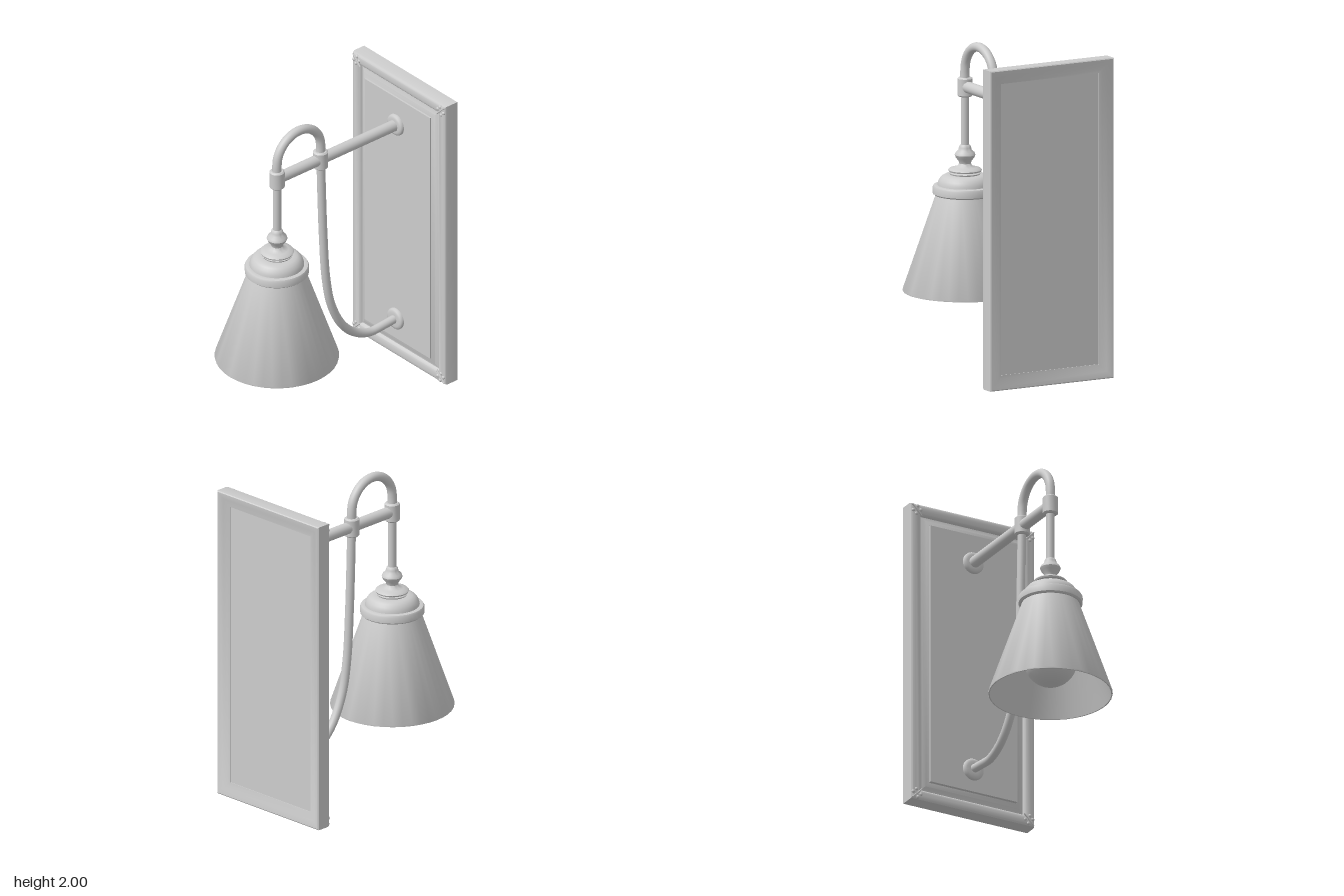
import * as THREE from 'three';
import { toCreasedNormals } from 'three/addons/utils/BufferGeometryUtils.js';

const metal = new THREE.MeshStandardMaterial({ color: 0xcccccc });
metal.name = 'light grey metal';

const AX = -0.008; // x of the lamp arm
const LZ = 0.35;   // z of the shade axis

export function createModel() {
  const model = new THREE.Group();

  const add = (name, geo, x = 0, y = 0, z = 0) => {
    const mesh = new THREE.Mesh(geo, metal);
    mesh.name = name;
    mesh.position.set(x, y, z);
    model.add(mesh);
    return mesh;
  };
  // profile given from bottom to top as [radius, height]
  const lathe = (pts, seg = 32) =>
    toCreasedNormals(new THREE.LatheGeometry(pts.map(p => new THREE.Vector2(p[0], p[1])), seg), 0.7);
  const tube = (pts, r, seg) => new THREE.TubeGeometry(
    new THREE.CatmullRomCurve3(pts.map(p => new THREE.Vector3(AX, p[0], p[1]))), seg, r, 16);

  // Mitred rectangular ring: profile points are [inset from edge, z]
  const ring = (profile, closed) => {
    const pos = [];
    const corners = [[1, -1], [1, 1], [-1, 1], [-1, -1]];
    const at = ([sx, sy], [d, z]) => [sx * (0.436 - d), 1 + sy * (1 - d), z];
    for (let i = 0; i < 4; i++) {
      const a = corners[i], b = corners[(i + 1) % 4];
      const n = closed ? profile.length : profile.length - 1;
      for (let j = 0; j < n; j++) {
        const p = profile[j], q = profile[(j + 1) % profile.length];
        const A = at(a, p), B = at(b, p), C = at(b, q), D = at(a, q);
        pos.push(...A, ...B, ...C, ...A, ...C, ...D);
      }
    }
    const g = new THREE.BufferGeometry();
    g.setAttribute('position', new THREE.Float32BufferAttribute(pos, 3));
    return toCreasedNormals(g, 0.6);
  };

  // Back plate: moulded frame, sloped border, raised field
  add('frame', ring([
    [0, -0.728], [0, -0.648], [0.004, -0.636], [0.014, -0.629], [0.03, -0.627],
    [0.048, -0.628], [0.062, -0.633], [0.073, -0.643], [0.079, -0.66],
    [0.09, -0.69], [0.09, -0.708], [0.07, -0.713], [0.045, -0.722], [0.02, -0.731], [0.006, -0.733],
  ], true));
  add('backPanel', new THREE.BoxGeometry(0.72, 1.85, 0.045), 0, 1, -0.6815);
  add('panelBorder', ring([[0.076, -0.65], [0.085, -0.648], [0.105, -0.638], [0.13, -0.628]], false));
  add('raisedField', new THREE.BoxGeometry(0.612, 1.73, 0.07), 0, 1.002, -0.654);

  // Corner ornaments: a mitre ridge and four beads
  for (const sx of [-1, 1]) for (const sy of [-1, 1]) {
    const cx = sx * 0.393, cy = 1 + sy * 0.957;
    const ridge = add('cornerRidge', new THREE.CylinderGeometry(0.005, 0.005, 0.095, 8), cx, cy, -0.629);
    ridge.rotation.z = -sx * sy * Math.PI / 4;
    for (const [u, v] of [[-0.026, 0.004], [-0.004, 0.026], [0.026, -0.006], [0.006, -0.026]]) {
      add('cornerBead', new THREE.SphereGeometry(0.012, 12, 8), cx + sx * u, cy + sy * v, -0.632);
    }
  }

  // Wall rosettes
  for (const [name, y] of [['upperRosette', 1.677], ['lowerRosette', 0.282]]) {
    add(name, lathe([[0.07, 0], [0.07, 0.013], [0.064, 0.021], [0.05, 0.025], [0.03, 0.025], [0, 0.025]]),
      AX, y, -0.62).rotation.x = Math.PI / 2;
  }

  // Horizontal arm
  const arm = add('arm', new THREE.CylinderGeometry(0.036, 0.036, 0.96, 24), AX, 1.677, -0.13);
  arm.rotation.x = Math.PI / 2;

  // Collars where the tubes cross the arm
  const collar = [[0, -0.06], [0.038, -0.06], [0.047, -0.052], [0.047, 0.052], [0.038, 0.06], [0, 0.06]];
  add('frontCollar', lathe(collar, 24), AX, 1.675, LZ - 0.002);
  add('rearCollar', lathe(collar, 24), AX, 1.677, -0.004);

  // Gooseneck arch
  const arch = [[1.67, LZ], [1.72, LZ]];
  for (let i = 0; i <= 10; i++) {
    const t = Math.PI * i / 10;
    arch.push([1.775 + 0.176 * Math.sin(t), 0.172 + 0.177 * Math.cos(t)]);
  }
  arch.push([1.72, -0.005], [1.67, -0.005]);
  add('gooseneck', tube(arch, 0.029, 64));

  // Curved brace back to the wall
  add('brace', tube([
    [1.66, -0.006], [1.4, -0.014], [1.127, -0.025], [0.81, -0.047], [0.6, -0.088], [0.42, -0.175],
    [0.315, -0.285], [0.27, -0.4], [0.274, -0.5], [0.286, -0.62],
  ], 0.027, 64));

  // Drop rod with turned spindle and stacked discs
  add('dropRod', new THREE.CylinderGeometry(0.026, 0.026, 0.42, 20), AX, 1.46, LZ - 0.002);
  add('spindle', lathe([
    [0, 1.11], [0.09, 1.125], [0.095, 1.137], [0.075, 1.143], [0.1, 1.148], [0.104, 1.157], [0.096, 1.166],
    [0.07, 1.172], [0.045, 1.182], [0.036, 1.197], [0.04, 1.212], [0.056, 1.232], [0.064, 1.25],
    [0.058, 1.266], [0.042, 1.28], [0.038, 1.295], [0.034, 1.308], [0.026, 1.315],
  ]), AX, 0, LZ - 0.002);

  // Shade cap: rolled band and dome
  add('shadeCap', lathe([
    [0.165, 1.004], [0.188, 1.004], [0.197, 1.012], [0.198, 1.05], [0.192, 1.061], [0.18, 1.064],
    [0.168, 1.064], [0.166, 1.078], [0.158, 1.098], [0.143, 1.116], [0.125, 1.126], [0.1, 1.129], [0, 1.129],
  ], 40), AX, 0, LZ);

  // Conical shade, open below, with an inner wall
  add('shade', lathe([
    [0, 1.01], [0.166, 1.01], [0.371, 0.41], [0.373, 0.402], [0.38, 0.402], [0.382, 0.41], [0.176, 1.01],
  ], 40), AX, 0, LZ);

  // Bulb with neck
  const bulb = [];
  for (let i = 0; i <= 12; i++) {
    const t = -Math.PI / 2 + (Math.PI * 0.86) * i / 12;
    bulb.push([Math.max(0, 0.165 * Math.cos(t)), 0.625 + 0.165 * Math.sin(t)]);
  }
  bulb.push([0.065, 0.82], [0.06, 1.01]);
  add('bulb', lathe(bulb), AX, 0, LZ);

  return model;
}
